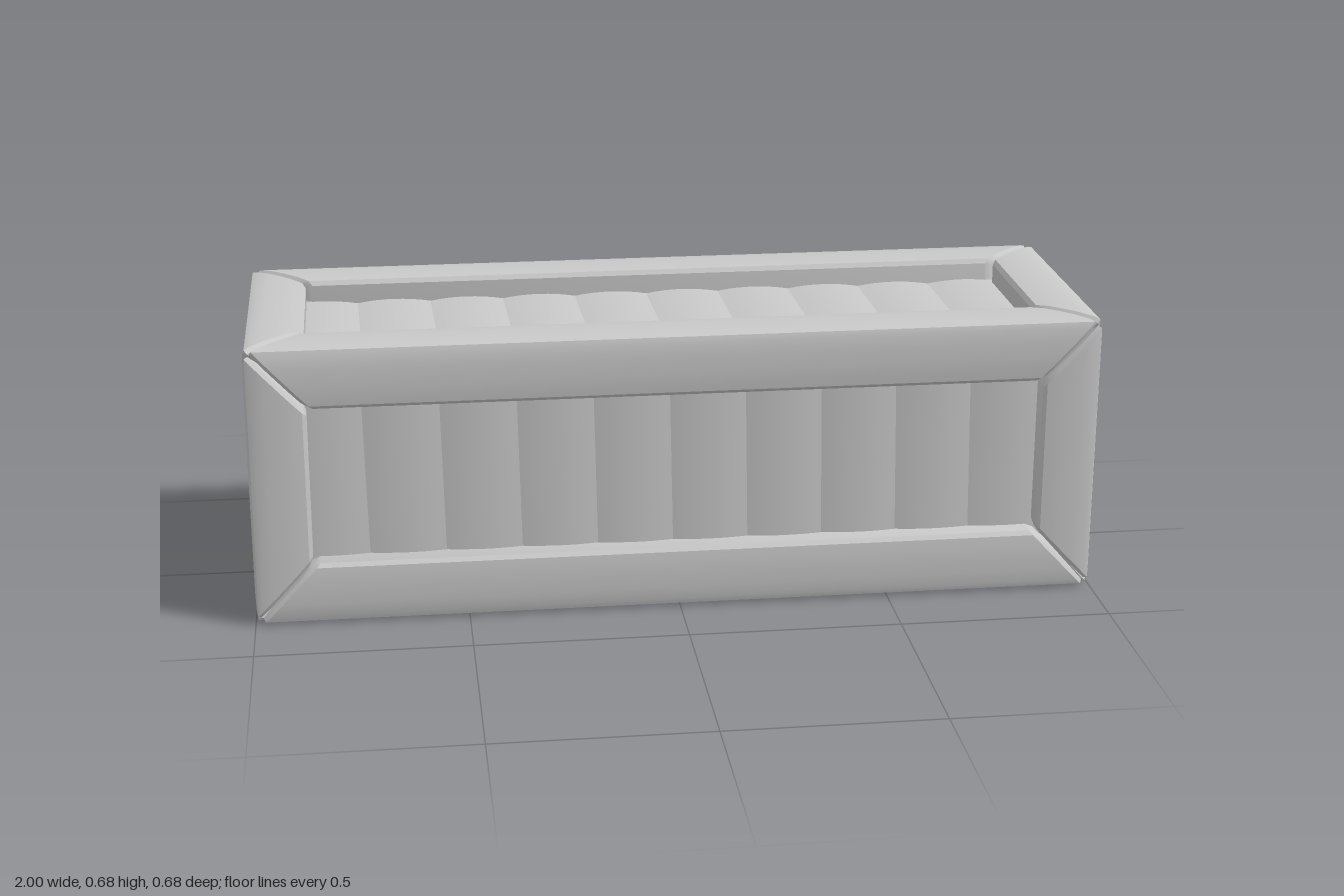
import * as THREE from 'three';
import { toCreasedNormals } from 'three/addons/utils/BufferGeometryUtils.js';

const HALF = [1, 0.34, 0.34];        // half size of the crate
const BEAM = [0.14, 0.15, 0.135];    // beam width measured along each axis
const RECESS = 0.055;                // how deep the planks sit behind the beams
const GAP = 0.004, BEVEL = 0.012;    // joint between mitred beams

// Beam cross-section: 0 is the outer face, 1 the inner face; mirrored across the diagonal
const side = [[1, 0.1], [0.94, 0.03], [0.75, 0.004], [0.55, 0], [0.35, 0.004], [0.14, 0.025]];
const PROFILE = [[1, 1], ...side, [0.055, 0.055], ...side.map(([u, v]) => [v, u]).reverse()];

// One mitred beam along the given axis, on the edge picked by the two signs
function beamGeometry(axis, sj, sk) {
  const j = (axis + 1) % 3, k = (axis + 2) % 3, n = PROFILE.length;
  const positions = [], index = [];
  const tri = (a, b, c) => (sj * sk > 0 ? index.push(a, b, c) : index.push(a, c, b));
  // Rings: bevelled end, full section, full section, bevelled end
  for (const [end, shrink, inset] of [[1, 0.88, 0], [1, 1, BEVEL], [-1, 1, BEVEL], [-1, 0.88, 0]]) {
    for (const point of PROFILE) {
      const [u, v] = point.map((s) => 0.5 + (s - 0.5) * shrink);
      const p = [0, 0, 0];
      p[axis] = end * (HALF[axis] - Math.max(u, v) * BEAM[axis] - GAP - inset);
      p[j] = sj * (HALF[j] - u * BEAM[j]);
      p[k] = sk * (HALF[k] - v * BEAM[k]);
      positions.push(...p);
    }
  }
  for (let r = 0; r < 3; r++) {
    for (let i = 0; i < n; i++) {
      const a = r * n + i, b = r * n + (i + 1) % n;
      tri(a, b, a + n);
      tri(b, b + n, a + n);
    }
  }
  for (let i = 1; i < n - 1; i++) {
    tri(0, i + 1, i);
    tri(3 * n, 3 * n + i, 3 * n + i + 1);
  }
  const geometry = new THREE.BufferGeometry();
  geometry.setAttribute('position', new THREE.Float32BufferAttribute(positions, 3));
  geometry.setIndex(index);
  return toCreasedNormals(geometry, 0.5);
}

// A slightly crowned plank with leaning edges
function plankGeometry(width, height) {
  const geometry = new THREE.BoxGeometry(width, height, 0.03, 8, 1, 1);
  const p = geometry.attributes.position;
  for (let i = 0; i < p.count; i++) {
    const x = p.getX(i), t = (2 * x) / width;
    p.setX(i, x - 0.02 * p.getY(i));
    if (p.getZ(i) > 0) p.setZ(i, 0.015 - 0.008 * t * t);
  }
  geometry.computeVertexNormals();
  return geometry;
}

export function createModel() {
  const model = new THREE.Group();
  model.name = 'crate';
  const grey = new THREE.MeshStandardMaterial({ color: 0xc8c8c8 });
  grey.name = 'light grey';

  const body = new THREE.Group();
  body.name = 'crateBody';
  body.position.y = HALF[1];
  model.add(body);

  // Twelve edge beams
  ['lengthBeam', 'uprightBeam', 'endBeam'].forEach((name, axis) => {
    for (const sj of [1, -1]) {
      for (const sk of [1, -1]) {
        const beam = new THREE.Mesh(beamGeometry(axis, sj, sk), grey);
        beam.name = name;
        body.add(beam);
      }
    }
  });

  // Six recessed plank panels: name, rotation, distance from centre, plank count, shift
  const plank = plankGeometry(0.179, 0.54);
  const q = Math.PI / 2;
  const panels = [
    ['frontPlanks', 0, 0, HALF[2], 10, -0.015],
    ['backPlanks', 0, 2 * q, HALF[2], 10, -0.015],
    ['topPlanks', -q, 0, HALF[1], 10, -0.015],
    ['bottomPlanks', q, 0, HALF[1], 10, -0.015],
    ['leftEndPlanks', 0, q, HALF[0], 3, 0.007],
    ['rightEndPlanks', 0, -q, HALF[0], 3, 0.007],
  ];
  for (const [name, rx, ry, distance, count, shift] of panels) {
    const panel = new THREE.Group();
    panel.name = name;
    panel.rotation.set(rx, ry, 0);
    for (let i = 0; i < count; i++) {
      const mesh = new THREE.Mesh(plank, grey);
      mesh.name = 'plank';
      mesh.position.set(shift + (i - (count - 1) / 2) * 0.179, 0, distance - RECESS - 0.015);
      panel.add(mesh);
    }
    body.add(panel);
  }
  return model;
}
